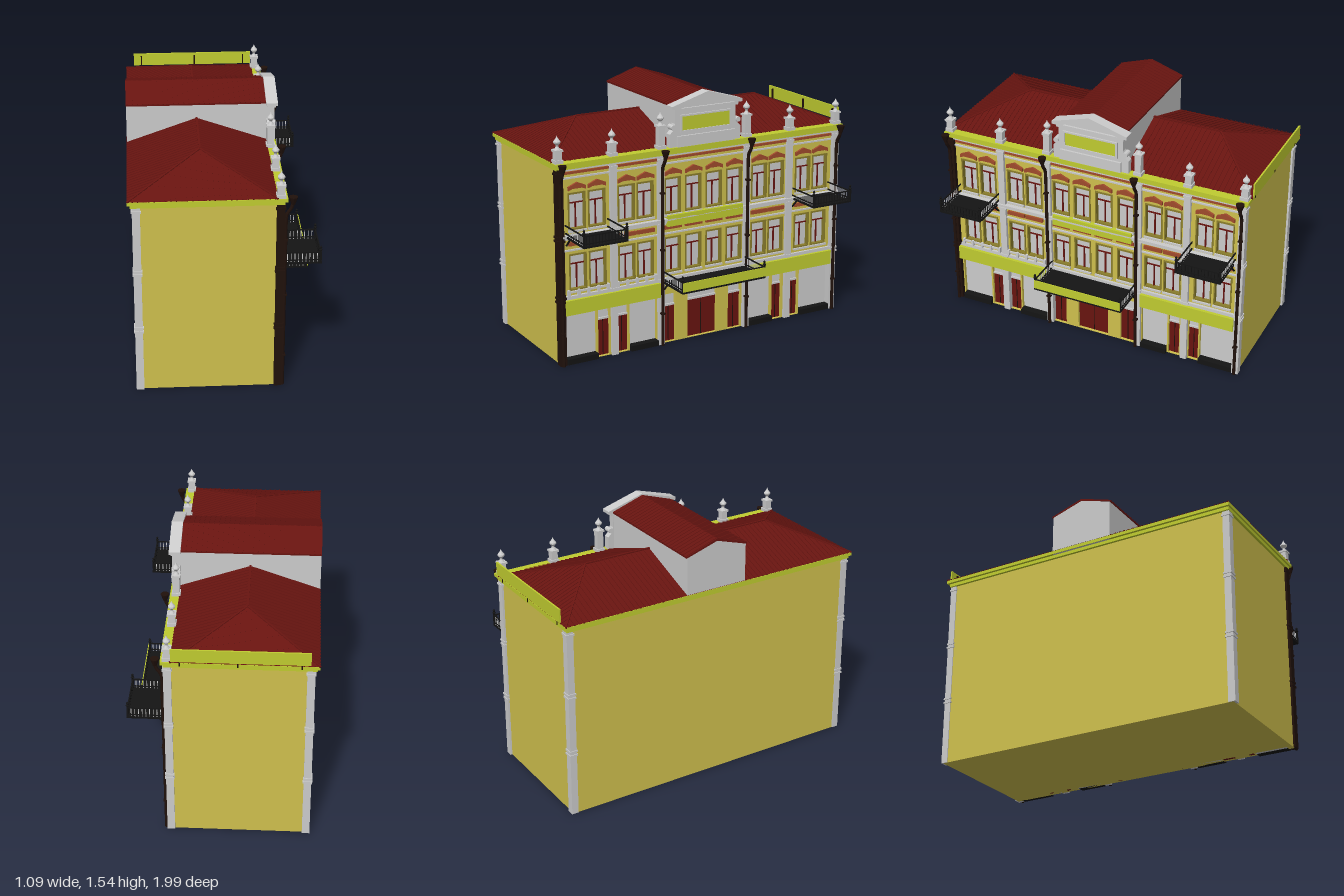
import * as THREE from 'three';

const M = {};
for (const [k, c] of Object.entries({
  grey: 0xcccccc, wall: 0xcfc04d, green: 0xc0cc30, red: 0x681410, brick: 0xa04a2c,
  dark: 0x20110b, black: 0x141414, frame: 0x8a7d2c,
})) M[k] = new THREE.MeshStandardMaterial({ color: c, flatShading: true });

export function createModel() {
  const root = new THREE.Group();
  root.name = 'building';
  let parent = root;

  const section = (name) => {
    parent = new THREE.Group();
    parent.name = name;
    root.add(parent);
  };
  const add = (name, mat, geo) => {
    const m = new THREE.Mesh(geo, M[mat]);
    m.name = name;
    parent.add(m);
    return m;
  };
  const box = (name, mat, x0, x1, y0, y1, z0, z1) =>
    add(name, mat, new THREE.BoxGeometry(x1 - x0, y1 - y0, Math.abs(z1 - z0)))
      .position.set((x0 + x1) / 2, (y0 + y1) / 2, (z0 + z1) / 2);
  // Outline in (z, y), extruded along x
  const path = (P, pts) => new P(pts.map(([z, y]) => new THREE.Vector2(-z, y)));
  const slab = (name, mat, x0, x1, pts, holes = []) => {
    const s = path(THREE.Shape, pts);
    s.holes = holes.map((h) => path(THREE.Path, h));
    const g = new THREE.ExtrudeGeometry(s, { depth: x1 - x0, bevelEnabled: false });
    add(name, mat, g.rotateY(Math.PI / 2).translate(x0, 0, 0));
  };
  const rect = (z0, z1, y0, y1) => [[z0, y0], [z1, y0], [z1, y1], [z0, y1]];
  // Square bar between two points
  const bar = (name, mat, a, b, t) => {
    const p = new THREE.Vector3(...a), q = new THREE.Vector3(...b);
    const m = add(name, mat, new THREE.BoxGeometry(t, t, p.distanceTo(q)));
    m.position.copy(p).lerp(q, 0.5);
    m.lookAt(q);
  };
  const lathe = (name, mat, pts, x, y, z, n = 8) =>
    add(name, mat, new THREE.LatheGeometry(pts.map((p) => new THREE.Vector2(...p)), n)).position.set(x, y, z);

  const F = 0.29; // facade plane
  const windowZ = [0.845, 0.717, 0.525, 0.4, 0.214, 0.073, -0.07, -0.214, -0.395, -0.52, -0.717, -0.845];
  const floors = [[0.455, 0.665], [0.82, 1.03]];
  // Ground floor openings: z0, z1, door height (0 = shop window), top
  const openings = [
    [0.93, 0.73, 0, 0.31], [0.72, 0.645, 0.23, 0.31], [0.595, 0.52, 0.23, 0.31], [0.51, 0.325, 0, 0.31],
    [0.28, 0.195, 0.23, 0.31], [0.11, -0.095, 0.24, 0.31], [-0.18, -0.27, 0.23, 0.31],
    [-0.325, -0.495, 0, 0.31], [-0.505, -0.575, 0.23, 0.31], [-0.635, -0.7, 0.23, 0.31], [-0.71, -0.93, 0, 0.31],
  ];

  // Walls
  section('walls');
  box('body', 'wall', -0.52, 0.25, 0, 1.19, 0.965, -0.96);
  const holes = openings.map(([a, b, , t]) => rect(a, b, 0.004, t));
  for (const z of windowZ) for (const [y0, y1] of floors) holes.push(rect(z + 0.05, z - 0.05, y0, y1));
  slab('facadeWall', 'wall', 0.25, F, rect(0.965, -0.96, 0, 1.19), holes);

  // Windows with frames, mullions and brick heads
  section('windows');
  for (const z of windowZ) floors.forEach(([y0, y1], i) => {
    box('glass', 'grey', 0.251, 0.268, y0, y1, z + 0.05, z - 0.05);
    slab('windowFrame', 'frame', 0.268, F + 0.006, rect(z + 0.056, z - 0.056, y0 - 0.006, y1 + 0.006),
      [rect(z + 0.048, z - 0.048, y0 + 0.003, y1 - 0.004)]);
    box('mullion', 'red', 0.268, 0.275, y0, y1 - 0.06, z + 0.004, z - 0.004);
    box('transom', 'red', 0.268, 0.275, y1 - 0.063, y1 - 0.056, z + 0.048, z - 0.048);
    box('sill', 'grey', F, F + 0.016, y0 - 0.018, y0 - 0.006, z + 0.058, z - 0.058);
    if (i) slab('windowHead', 'brick', F, F + 0.014,
      [[z + 0.056, 1.05], [z + 0.03, 1.06], [z - 0.03, 1.06], [z - 0.056, 1.05],
        [z - 0.056, 1.072], [z, 1.096], [z + 0.056, 1.072]]);
    else box('lintel', 'brick', F, F + 0.014, 0.722, 0.745, z + 0.058, z - 0.058);
  });

  // Doors and shop fronts
  section('groundFloor');
  for (const [a, b, h, t] of openings) {
    box('pane', 'grey', 0.251, 0.27, h, t, a, b);
    if (h) {
      box('door', 'red', 0.251, 0.274, 0, h, a, b);
      box('doorSeam', 'dark', 0.27, 0.277, 0, h, (a + b) / 2 + 0.002, (a + b) / 2 - 0.002);
      box('doorHead', 'grey', 0.25, 0.28, h, h + 0.012, a, b);
    } else {
      box('plinth', 'black', F - 0.02, F + 0.025, 0, 0.034, a, b);
    }
  }

  // Horizontal bands and sign boards
  section('bands');
  for (const [y0, y1, d, m] of [[0.4, 0.42, 0.016, 'grey'], [0.762, 0.778, 0.02, 'grey'], [0.778, 0.79, 0.03, 'grey'],
    [0.69, 0.7, 0.01, 'grey'], [1.12, 1.13, 0.01, 'grey'], [1.148, 1.162, 0.012, 'brick'], [1.17, 1.18, 0.022, 'grey']])
    box('band', m, F, F + d, y0, y1, 0.96, -0.955);
  box('signBoard', 'green', F, F + 0.035, 0.31, 0.4, 0.94, 0.315);
  box('signBoard', 'green', F, F + 0.035, 0.31, 0.4, -0.325, -0.93);
  box('signBoard', 'green', F, F + 0.03, 0.742, 0.81, 0.262, -0.262);
  for (let z = 0.91; z > 0.32; z -= 0.064) box('signBracket', 'grey', F, F + 0.02, 0.42, 0.455, z + 0.007, z - 0.007);
  box('sideSign', 'green', -0.5, 0.27, 1.235, 1.315, -0.99, -1);
  for (const x of [-0.45, -0.1, 0.22]) box('sideSignPost', 'dark', x - 0.004, x + 0.004, 1.2, 1.3, -0.98, -0.99);

  // Pilasters
  section('pilasters');
  const pilaster = (mat, x0, x1, z0, z1) => {
    box('pilaster', mat, x0, x1, 0, 1.185, z0, z1);
    for (const y of [0.385, 0.41, 0.755, 0.778, 1.15])
      box('pilasterRing', mat, x0 - 0.005, x1 + 0.005, y, y + 0.012, z0 + 0.005, z1 - 0.005);
  };
  pilaster('grey', -0.525, -0.48, 0.978, 0.935);
  pilaster('grey', -0.525, -0.48, -0.93, -0.972);
  pilaster('dark', 0.27, 0.315, 0.978, 0.938);
  pilaster('grey', 0.27, 0.315, -0.93, -0.972);
  for (const z of [0.615, 0.3, -0.3, -0.61]) pilaster('grey', 0.27, 0.31, z + 0.021, z - 0.021);

  // Downpipes with hoppers
  section('downpipes');
  for (const z of [0.962, 0.3, -0.295, -0.95]) {
    const c = new THREE.CatmullRomCurve3([[0.36, 1.19], [0.352, 1.155], [0.327, 1.115], [0.322, 1.07]]
      .map(([x, y]) => new THREE.Vector3(x, y, z)));
    add('pipeBend', 'dark', new THREE.TubeGeometry(c, 8, 0.01, 8));
    add('pipe', 'dark', new THREE.CylinderGeometry(0.01, 0.01, 1.07, 8)).position.set(0.322, 0.535, z);
    lathe('hopper', 'dark', [[0, 0], [0.01, 0], [0.024, 0.04], [0.026, 0.048], [0, 0.048]], 0.36, 1.172, z);
    for (const y of [0.2, 0.6, 0.95]) box('pipeClamp', 'dark', 0.3, 0.335, y, y + 0.01, z + 0.013, z - 0.013);
  }

  // Cornice
  section('cornice');
  box('corniceLower', 'green', -0.535, 0.315, 1.18, 1.2, 0.98, -0.975);
  box('corniceUpper', 'green', -0.55, 0.33, 1.2, 1.22, 0.99, -0.988);

  // Hipped roof with standing ribs
  section('roof');
  const X0 = -0.55, X1 = 0.275, XR = -0.137, Z = 0.988, ZR = 0.63, Y0 = 1.222, Y1 = 1.368;
  const roof = new THREE.BufferGeometry();
  roof.setAttribute('position', new THREE.Float32BufferAttribute([
    X0, Y0, Z, X1, Y0, Z, X1, Y0, -Z, X0, Y0, -Z, XR, Y1, ZR, XR, Y1, -ZR], 3));
  roof.setIndex([0, 1, 4, 1, 2, 5, 1, 5, 4, 2, 3, 5, 3, 0, 4, 3, 4, 5, 0, 3, 2, 0, 2, 1]);
  roof.computeVertexNormals();
  add('hippedRoof', 'red', roof);
  for (let z = -0.96; z < 0.97; z += 0.03) {
    if (Math.abs(z) < 0.21) continue;
    const t = Math.min(1, (Z - Math.abs(z)) / (Z - ZR));
    for (const x of [X0, X1]) bar('rib', 'red', [x, Y0, z], [x + (XR - x) * t, Y0 + (Y1 - Y0) * t, z], 0.007);
  }
  for (let x = X0 + 0.03; x < X1; x += 0.03) {
    const t = x < XR ? (x - X0) / (XR - X0) : (X1 - x) / (X1 - XR);
    for (const s of [1, -1]) bar('rib', 'red', [x, Y0, s * Z], [x, Y0 + (Y1 - Y0) * t, s * (Z + (ZR - Z) * t)], 0.007);
  }
  for (const s of [1, -1]) {
    bar('ridge', 'red', [XR, Y1, s * ZR], [XR, Y1, s * 0.2], 0.012);
    for (const x of [X0, X1]) bar('hip', 'red', [x, Y0, s * Z], [XR, Y1, s * ZR], 0.01);
  }

  // Central attic with its own gable roof
  section('attic');
  slab('atticWalls', 'grey', -0.548, 0.28, [[0.2, 1.2], [-0.2, 1.2], [-0.2, 1.455], [0, 1.52], [0.2, 1.455]]);
  slab('atticRoof', 'red', -0.55, 0.275,
    [[0.207, 1.452], [0, 1.516], [-0.207, 1.452], [-0.207, 1.462], [0, 1.53], [0.207, 1.462]]);
  for (let x = -0.54; x < 0.27; x += 0.03)
    for (const s of [1, -1]) bar('rib', 'red', [x, 1.462, s * 0.207], [x, 1.53, 0], 0.006);

  // Street gable
  section('gable');
  slab('gableWall', 'grey', 0.275, 0.315, [[0.245, 1.22], [-0.24, 1.22], [-0.24, 1.3], [-0.22, 1.32], [-0.205, 1.36],
    [-0.205, 1.45], [0, 1.52], [0.21, 1.45], [0.21, 1.36], [0.225, 1.32], [0.245, 1.3]]);
  slab('gableCap', 'grey', 0.27, 0.338, [[0.242, 1.45], [0.195, 1.45], [0, 1.515], [-0.195, 1.45], [-0.238, 1.45],
    [-0.238, 1.468], [0, 1.538], [0.242, 1.468]]);
  box('gableLedge', 'grey', 0.28, 0.328, 1.432, 1.45, 0.22, -0.215);
  box('gableBase', 'grey', 0.28, 0.328, 1.22, 1.285, 0.2, -0.195);
  slab('panelFrame', 'grey', 0.31, 0.325, rect(0.178, -0.173, 1.305, 1.41), [rect(0.165, -0.16, 1.317, 1.4)]);
  box('gablePanel', 'green', 0.31, 0.319, 1.315, 1.402, 0.167, -0.162);
  for (const z of [0.225, -0.22])
    add('roundel', 'grey', new THREE.CylinderGeometry(0.016, 0.016, 0.05, 12).rotateZ(Math.PI / 2)).position.set(0.3, 1.34, z);

  // Roof posts with finials
  section('roofPosts');
  for (const z of [0.96, 0.615, 0.297, -0.297, -0.612, -0.955]) {
    const h = Math.abs(z) < 0.4 ? 1.36 : 1.3;
    box('post', 'grey', 0.272, 0.312, 1.22, h, z + 0.02, z - 0.02);
    box('postBase', 'grey', 0.266, 0.318, 1.22, 1.24, z + 0.026, z - 0.026);
    box('postCap', 'grey', 0.266, 0.318, h - 0.012, h, z + 0.026, z - 0.026);
    lathe('finial', 'grey', [[0.018, 0], [0.008, 0.016], [0.009, 0.024], [0.021, 0.038], [0.021, 0.046],
      [0.01, 0.06], [0.006, 0.066], [0, 0.08]], 0.292, h, z, 10);
  }

  // Balconies
  const balcony = (name, z0, z1, y) => {
    section(name);
    const xo = 0.527, top = y + 0.058;
    box('deck', 'black', F, 0.535, y - 0.012, y, z0, z1);
    const n = Math.round((z0 - z1) / 0.02);
    for (const yy of [y + 0.012, top]) {
      bar('rail', 'black', [xo, yy, z0 - 0.006], [xo, yy, z1 + 0.006], 0.007);
      for (const z of [z0 - 0.006, z1 + 0.006]) bar('rail', 'black', [F, yy, z], [xo, yy, z], 0.007);
    }
    for (let i = 1; i < n; i++) {
      const z = z0 + ((z1 - z0) * i) / n;
      box('baluster', 'black', xo - 0.002, xo + 0.002, y, top, z + 0.002, z - 0.002);
    }
    for (const z of [z0 - 0.006, z1 + 0.006]) {
      for (let x = 0.34; x < xo; x += 0.021) box('baluster', 'grey', x - 0.002, x + 0.002, y, top, z + 0.002, z - 0.002);
      box('cornerPost', 'black', xo - 0.006, xo + 0.006, y, top + 0.008, z + 0.006, z - 0.006);
      lathe('postFinial', 'black', [[0.004, 0], [0.011, 0.01], [0.004, 0.018], [0.008, 0.026], [0, 0.036]], xo, top + 0.006, z);
      bar('bracket', 'black', [F + 0.01, y - 0.06, z], [F + 0.06, y - 0.008, z], 0.008);
    }
  };
  balcony('leftBalcony', 0.925, 0.642, 0.788);
  balcony('rightBalcony', -0.635, -0.918, 0.788);
  balcony('centreBalcony', 0.288, -0.294, 0.402);
  box('balconySign', 'green', 0.531, 0.537, 0.402, 0.458, 0.285, -0.29);

  return root;
}
